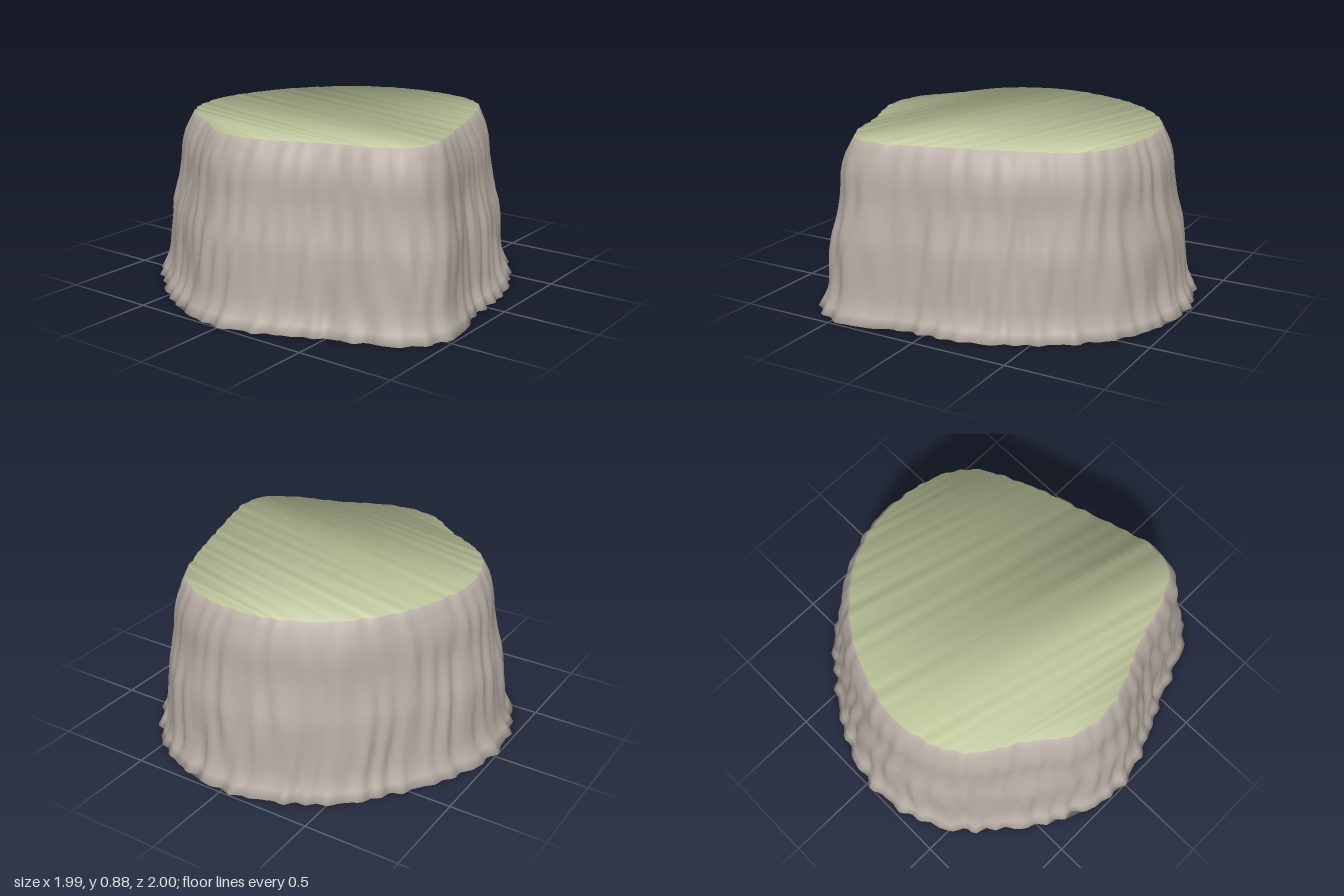
import * as THREE from 'three';

const HEIGHT = 0.885, SEGMENTS = 240, ROWS = 20;

// plan outlines as [x, z], clockwise seen from above
const baseOutline = [
  [0.9, -0.02], [0.9, 0.08], [0.95, 0.27], [0.985, 0.4], [0.95, 0.53], [0.885, 0.64], [0.72, 0.73],
  [0.52, 0.8], [0.3, 0.9], [0.14, 0.96], [0, 0.99], [-0.19, 0.97], [-0.34, 0.9], [-0.5, 0.82],
  [-0.69, 0.66], [-0.84, 0.52], [-0.92, 0.37], [-0.97, 0.23], [-0.985, -0.02], [-0.92, -0.24],
  [-0.83, -0.41], [-0.7, -0.59], [-0.58, -0.74], [-0.39, -0.87], [-0.19, -0.95], [0, -0.985],
  [0.32, -0.92], [0.51, -0.81], [0.68, -0.62], [0.79, -0.43], [0.86, -0.27],
];
const topOutline = [
  [0.7, 0], [0.75, 0.16], [0.785, 0.32], [0.76, 0.46], [0.62, 0.56], [0.35, 0.64], [0.165, 0.72],
  [0, 0.765], [-0.21, 0.735], [-0.39, 0.6], [-0.61, 0.46], [-0.71, 0.32], [-0.765, 0.08],
  [-0.71, -0.19], [-0.61, -0.4], [-0.42, -0.61], [-0.23, -0.72], [0, -0.765], [0.3, -0.72],
  [0.46, -0.61], [0.565, -0.41], [0.635, -0.21],
];

// how far the wall lies towards the base outline: [height, blend]
const wallProfile = [
  [0, 1], [0.05, 0.86], [0.1, 0.76], [0.2, 0.7], [0.3, 0.66], [0.4, 0.6], [0.5, 0.47],
  [0.6, 0.37], [0.7, 0.33], [0.78, 0.25], [HEIGHT, 0],
];

function blendAt(y) {
  let i = 1;
  while (i < wallProfile.length - 1 && wallProfile[i][0] < y) i++;
  const [y0, b0] = wallProfile[i - 1], [y1, b1] = wallProfile[i];
  return b0 + (b1 - b0) * (y - y0) / (y1 - y0);
}

// radius of a smooth closed outline at each segment angle
function radii(outline) {
  const curve = new THREE.CatmullRomCurve3(outline.map(([x, z]) => new THREE.Vector3(x, 0, z)), true);
  const polar = curve.getPoints(800).map(p => [(Math.atan2(p.z, p.x) + 2 * Math.PI) % (2 * Math.PI), Math.hypot(p.x, p.z)]);
  return Array.from({ length: SEGMENTS }, (_, i) => {
    const a = i / SEGMENTS * 2 * Math.PI;
    const gap = p => Math.abs(Math.atan2(Math.sin(p[0] - a), Math.cos(p[0] - a)));
    return polar.reduce((best, p) => (gap(p) < gap(best) ? p : best))[1];
  });
}

// eroded vertical grooves that wander a little with height
function ripple(a, y) {
  const amount = 0.005 + 0.005 * (1 - y / HEIGHT);
  return amount * (
    0.8 * Math.sin(43 * a + 2.2 * Math.sin(5 * y + 3 * a)) +
    0.6 * Math.sin(61 * a - 1.8 * Math.sin(7 * y + 2 * a)) +
    0.5 * Math.sin(29 * a + 4 * y) +
    0.5 * Math.sin(11 * a + 9 * y) * Math.sin(Math.PI * y / HEIGHT));
}

export function createModel() {
  const rock = new THREE.MeshStandardMaterial({ color: 0xb6ada4 });
  rock.name = 'weatheredRock';
  const grass = new THREE.MeshStandardMaterial({ color: 0xbcc49a });
  grass.name = 'paleGrass';

  // rings of points from the foot to the rim
  const baseR = radii(baseOutline), topR = radii(topOutline);
  const points = [], wall = [], top = [], bottom = [];
  const at = (i, j) => j * SEGMENTS + (i + SEGMENTS) % SEGMENTS;
  for (let j = 0; j <= ROWS; j++) {
    const y = HEIGHT * j / ROWS, b = blendAt(y);
    for (let i = 0; i < SEGMENTS; i++) {
      const a = i / SEGMENTS * 2 * Math.PI;
      const r = (topR[i] + (baseR[i] - topR[i]) * b) * (1 + ripple(a, y));
      points.push(r * Math.cos(a), y, r * Math.sin(a));
      if (j < ROWS) wall.push(at(i, j), at(i, j + 1), at(i + 1, j), at(i + 1, j), at(i, j + 1), at(i + 1, j + 1));
    }
  }

  // caps: strips of near-parallel chords across the outline
  const start = Math.round(SEGMENTS * 284 / 360);
  for (let k = 0; k < SEGMENTS / 2; k++) {
    const corners = [start + k + 1, start + k, start - k, start - k - 1].map(i => (i + SEGMENTS) % SEGMENTS);
    const [p, q, r, s] = corners.map(i => at(i, ROWS));
    top.push(p, q, r, p, r, s);
    const [e, f, g, h] = corners;
    bottom.push(e, g, f, e, h, g);
  }

  // wall normals, softened over the rim and the foot
  const wallGeometry = new THREE.BufferGeometry();
  wallGeometry.setAttribute('position', new THREE.Float32BufferAttribute(points, 3));
  wallGeometry.setIndex(wall);
  wallGeometry.computeVertexNormals();
  const normals = wallGeometry.attributes.normal, n = new THREE.Vector3();
  for (let i = 0; i < SEGMENTS; i++) {
    for (const [j, tilt] of [[0, -0.6], [ROWS, 0.5]]) {
      n.fromBufferAttribute(normals, at(i, j));
      n.y += tilt;
      n.normalize();
      normals.setXYZ(at(i, j), n.x, n.y, n.z);
    }
  }

  const model = new THREE.Group();
  model.name = 'rockPlateau';
  const addPart = (name, index, material) => {
    const geometry = new THREE.BufferGeometry();
    geometry.setAttribute('position', wallGeometry.attributes.position);
    geometry.setAttribute('normal', normals);
    geometry.setIndex(index);
    const mesh = new THREE.Mesh(geometry, material);
    mesh.name = name;
    model.add(mesh);
  };
  addPart('cliffWall', wall, rock);
  addPart('grassTop', top, grass);
  addPart('underside', bottom, rock);
  return model;
}
